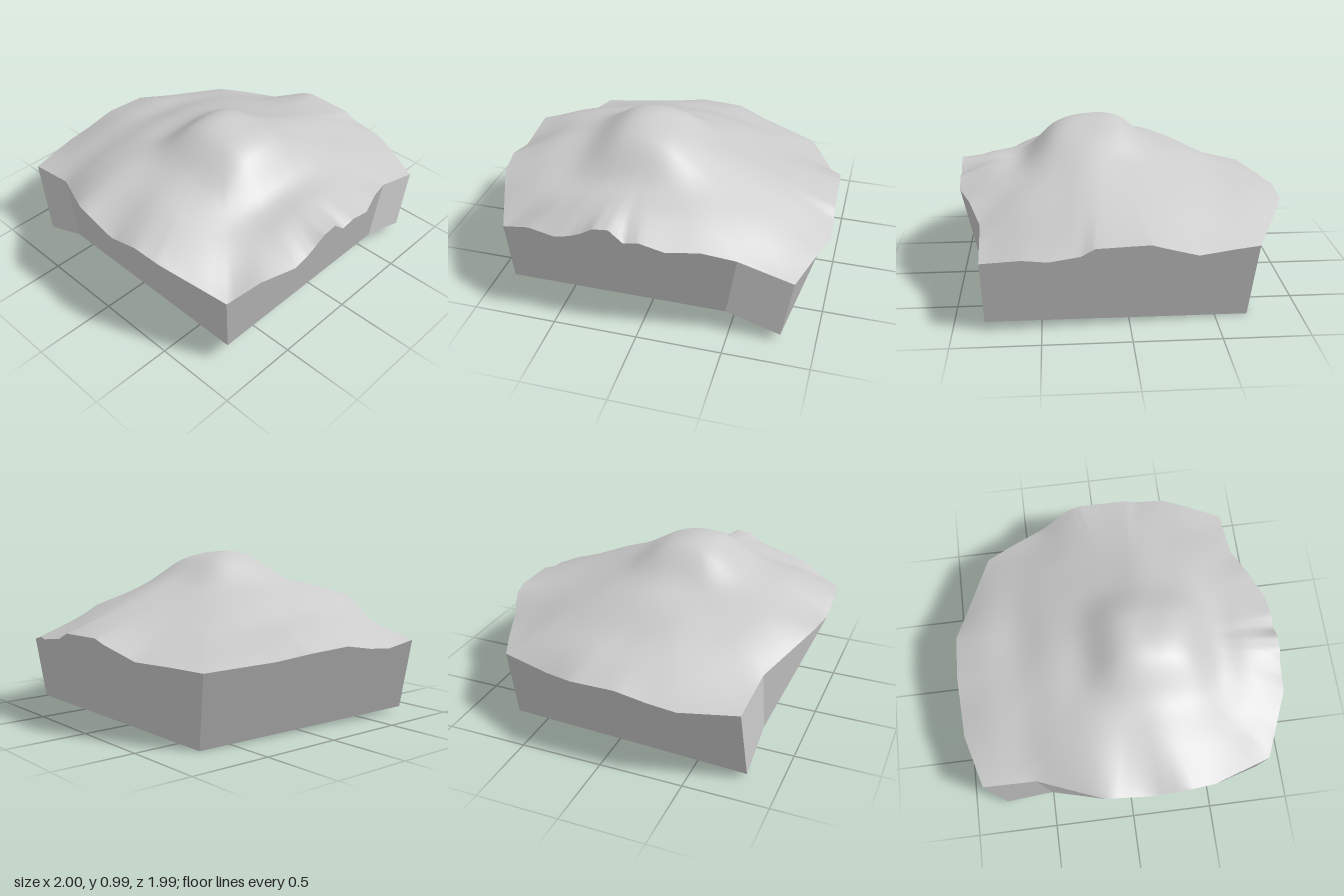
import * as THREE from 'three';

// Rim points [x, y, z], anticlockwise seen from above, starting at the front edge's -x end
const RIM = [
  [-0.84, 0.51, 0.84], [-0.65, 0.585, 0.91], [-0.46, 0.61, 0.985], [-0.37, 0.63, 0.985],
  [-0.3, 0.66, 0.985], [-0.23, 0.705, 0.99], [-0.14, 0.715, 0.99], [-0.06, 0.645, 0.99],
  [0.03, 0.66, 0.99], [0.17, 0.62, 0.98], [0.35, 0.6, 0.91], [0.54, 0.53, 0.84],
  [0.86, 0.43, 0.83],
  [0.945, 0.48, 0.6], [1.0, 0.49, 0.45], [0.995, 0.515, 0.28], [0.99, 0.555, 0.2],
  [0.985, 0.565, -0.1], [0.98, 0.54, -0.18], [0.9, 0.46, -0.37], [0.81, 0.45, -0.58],
  [0.73, 0.435, -0.75],
  [0.36, 0.475, -0.91], [0.17, 0.51, -0.99], [-0.1, 0.52, -1.0], [-0.29, 0.485, -0.995],
  [-0.46, 0.465, -0.99],
  [-0.79, 0.47, -0.9],
  [-0.81, 0.54, -0.57], [-0.99, 0.67, -0.18], [-1.0, 0.62, 0.1], [-1.0, 0.67, 0.3],
  [-0.98, 0.645, 0.47],
];

// Ground heights: rows run from z = -1 to 1 in steps of 0.2, columns x = -1 to 1 in steps of 0.25
const HEIGHTS = [
  [0.45, 0.46, 0.46, 0.5, 0.53, 0.51, 0.47, 0.44, 0.4],
  [0.46, 0.5, 0.55, 0.59, 0.6, 0.58, 0.52, 0.45, 0.42],
  [0.52, 0.56, 0.62, 0.66, 0.65, 0.62, 0.56, 0.48, 0.43],
  [0.6, 0.67, 0.71, 0.745, 0.745, 0.7, 0.62, 0.52, 0.45],
  [0.66, 0.74, 0.78, 0.81, 0.82, 0.76, 0.67, 0.59, 0.53],
  [0.62, 0.74, 0.82, 0.955, 0.95, 0.81, 0.71, 0.63, 0.56],
  [0.65, 0.76, 0.83, 0.975, 0.96, 0.84, 0.735, 0.64, 0.55],
  [0.65, 0.73, 0.79, 0.92, 0.92, 0.8, 0.7, 0.6, 0.5],
  [0.6, 0.66, 0.7, 0.75, 0.755, 0.72, 0.65, 0.55, 0.48],
  [0.52, 0.56, 0.66, 0.73, 0.72, 0.66, 0.57, 0.48, 0.44],
  [0.47, 0.53, 0.61, 0.69, 0.65, 0.6, 0.5, 0.43, 0.4],
];

// Base corners: rim point above, rim point where the wall's fan changes corner,
// position, corner of the flat floor it folds up to, and corner of the recess
const FLOOR = [[-0.81, 0.15, 0.82], [0.48, 0.15, 0.82], [0.71, 0, -0.69], [-0.81, 0.15, -0.5]];
const RECESS = [[-0.46, 0.18, 0.47], [0.28, 0.18, 0.47], [0.28, 0.16, -0.3], [-0.46, 0.18, -0.3]];
const BASE = [
  { at: 0, split: 6, p: FLOOR[0], floor: 0 },
  { at: 11, split: 11, p: FLOOR[1], floor: 1 },
  { at: 12, split: 13, p: [0.8, 0.05, 0.82], floor: 1 },
  { at: 21, split: 21, p: FLOOR[2], floor: 2 },
  { at: 27, split: 27, p: [-0.81, 0.03, -0.8], floor: 3 },
  { at: 28, split: 30, p: FLOOR[3], floor: 3 },
];
const PEAK = new THREE.Vector2(-0.12, 0.1);
const SUB = 4; // subdivisions between rim points
const RINGS = 28;
const vec = (a) => new THREE.Vector3(...a);

// Smooth curve through evenly spaced values, u running from 0 to 1
function smooth(values, u) {
  const s = THREE.MathUtils.clamp(u, 0, 1) * (values.length - 1);
  const k = Math.min(Math.floor(s), values.length - 2);
  const t = s - k;
  const b = values[k], c = values[k + 1];
  const a = values[k - 1] ?? 2 * b - c;
  const d = values[k + 2] ?? 2 * c - b;
  return b + 0.5 * t * (c - a + t * (2 * a - 5 * b + 4 * c - d + t * (3 * (b - c) + d - a)));
}

function groundHeight(x, z) {
  return smooth(HEIGHTS.map((row) => smooth(row, (x + 1) / 2)), (z + 1) / 2);
}

// Skin a list of point rows; closed rows wrap round
function loft(rows, closed) {
  const n = rows[0].length;
  const index = [];
  for (let r = 0; r < rows.length - 1; r++) {
    for (let i = 0; i < (closed ? n : n - 1); i++) {
      const a = r * n + i, b = r * n + ((i + 1) % n);
      index.push(a, a + n, b + n, a, b + n, b);
    }
  }
  const geo = new THREE.BufferGeometry().setFromPoints(rows.flat());
  geo.setIndex(index);
  geo.computeVertexNormals();
  return geo;
}

// Give a whole panel one even normal
function evenNormal(geo) {
  const normals = geo.attributes.normal;
  const sum = new THREE.Vector3();
  for (let i = 0; i < normals.count; i++) sum.add(new THREE.Vector3().fromBufferAttribute(normals, i));
  sum.normalize();
  for (let i = 0; i < normals.count; i++) normals.setXYZ(i, sum.x, sum.y, sum.z);
  return geo;
}

export function createModel() {
  const group = new THREE.Group();
  const add = (name, geo, flatShading = false) => {
    const mat = new THREE.MeshStandardMaterial({ color: 0xcccccc, flatShading });
    const mesh = new THREE.Mesh(geo, mat);
    mesh.name = name;
    group.add(mesh);
  };

  // Angular rim
  const rim = RIM.flatMap((p, i) => Array.from({ length: SUB }, (_, k) =>
    vec(p).lerp(vec(RIM[(i + 1) % RIM.length]), k / SUB)));

  // Hilly ground: rings from the peak outwards, settling onto the rim
  const rings = Array.from({ length: RINGS + 1 }, (_, r) => rim.map((p) => {
    const t = r / RINGS;
    const x = THREE.MathUtils.lerp(PEAK.x, p.x, t);
    const z = THREE.MathUtils.lerp(PEAK.y, p.z, t);
    const settle = (p.y - groundHeight(p.x, p.z)) * t ** 7;
    return new THREE.Vector3(x, groundHeight(x, z) + settle, z);
  }));
  const ground = loft(rings, true);
  // The innermost ring is one point, so it shares an upright normal
  for (let i = 0; i < rim.length; i++) ground.attributes.normal.setXYZ(i, 0, 1, 0);
  add('hillyGround', ground);

  // Cut walls: the rim fans down to one base corner, then to the next
  BASE.forEach((corner, k) => {
    const next = BASE[(k + 1) % BASE.length];
    const end = next.at || RIM.length;
    const top = [], bottom = [];
    for (let i = corner.at * SUB; i <= end * SUB; i++) {
      top.push(rim[i % rim.length]);
      bottom.push(vec(i <= corner.split * SUB ? corner.p : next.p));
    }
    add('cutWall' + (k + 1), evenNormal(loft([top, bottom], false)));
  });

  // Underside: two folded edges, a sloping border and a shallow recess
  add('underside', loft([
    BASE.map((c) => vec(c.p)),
    BASE.map((c) => vec(FLOOR[c.floor])),
    BASE.map((c) => vec(RECESS[c.floor])),
    BASE.map(() => new THREE.Vector3(-0.09, 0.18, 0.08)),
  ], true), true);

  return group;
}
